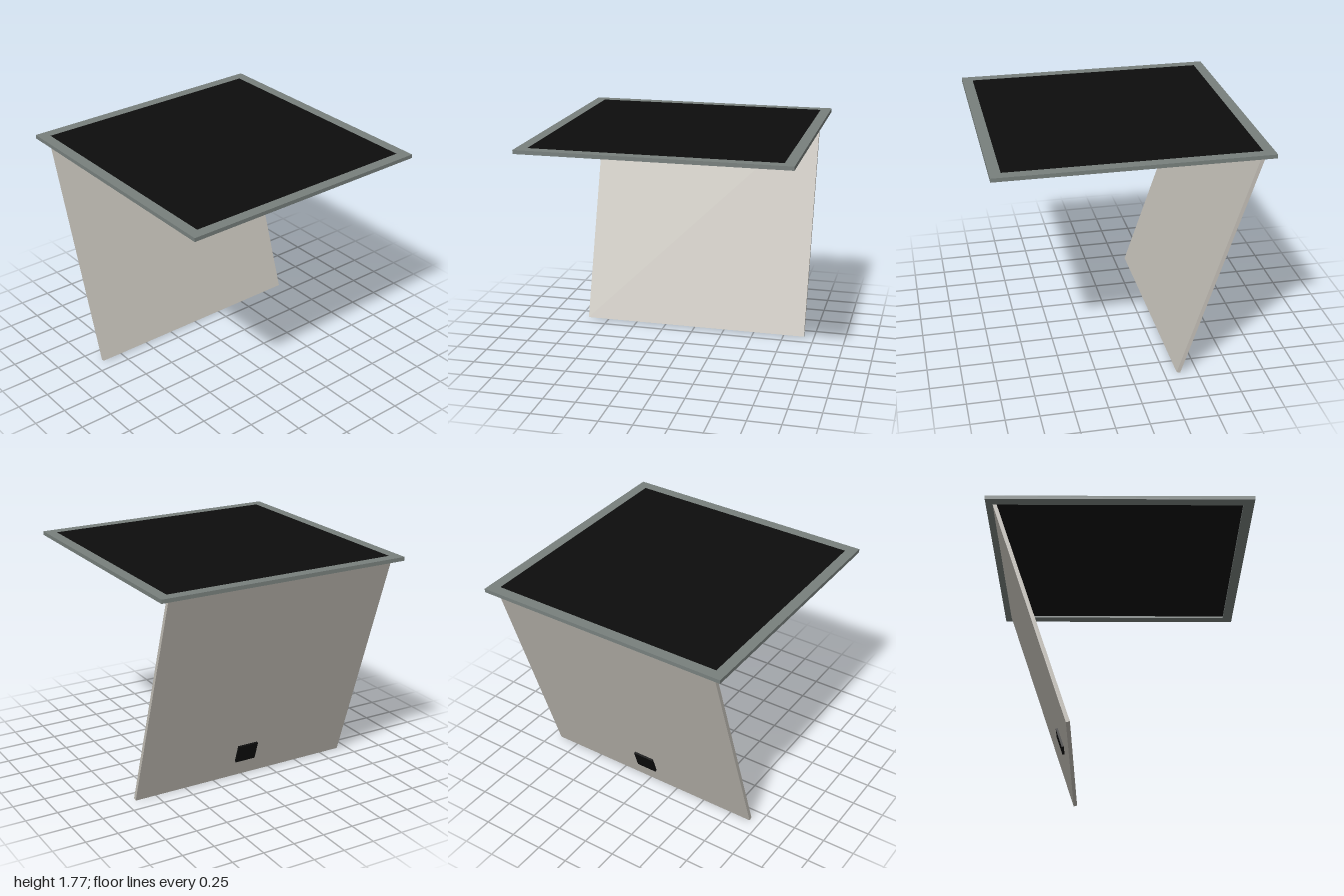
import * as THREE from 'three';

const HALF = 0.92;        // half size of the opening
const THICK = 0.029;      // frame and door thickness
const TOP = 1.778;

const mat = (name, color) => {
  const m = new THREE.MeshStandardMaterial({ color });
  m.name = name;
  return m;
};

export function createModel() {
  const root = new THREE.Group();
  root.name = 'openHatch';
  const frameGrey = mat('frameGrey', 0x78807d);
  const doorStone = mat('doorStone', 0xc3bfb7);
  const black = mat('black', 0x0d0d0d);

  const box = (name, size, pos, material, parent) => {
    const mesh = new THREE.Mesh(new THREE.BoxGeometry(...size), material);
    mesh.name = name;
    mesh.position.set(...pos);
    parent.add(mesh);
    return mesh;
  };

  // Square frame with a square opening
  const outline = new THREE.Shape([[-1, -1], [1, -1], [1, 1], [-1, 1]].map(p => new THREE.Vector2(...p)));
  outline.holes.push(new THREE.Path(
    [[-1, -1], [-1, 1], [1, 1], [1, -1]].map(([x, y]) => new THREE.Vector2(x * HALF, y * HALF))));
  const frameGeo = new THREE.ExtrudeGeometry(outline, { depth: THICK, bevelEnabled: false });
  frameGeo.rotateX(-Math.PI / 2);
  const frame = new THREE.Mesh(frameGeo, frameGrey);
  frame.name = 'frame';
  frame.position.y = TOP - THICK;
  root.add(frame);

  // Dark panel filling the opening, flush at the top and recessed below
  box('openingPanel', [HALF * 2, 0.012, HALF * 2], [0, TOP - 0.007, 0], black, root);

  // Door hanging open from the frame edge, pivoting at its top
  const door = new THREE.Group();
  door.name = 'door';
  door.position.set(-0.935, 1.756, 0);
  door.rotation.z = THREE.MathUtils.degToRad(18.33);
  root.add(door);
  box('doorPanel', [THICK, HALF * 2, HALF * 2], [0, -HALF, 0], doorStone, door);

  // Handle plate on the outer face near the free edge
  box('handle', [0.018, 0.155, 0.17], [-0.0215, -1.61, 0], black, door);

  return root;
}
